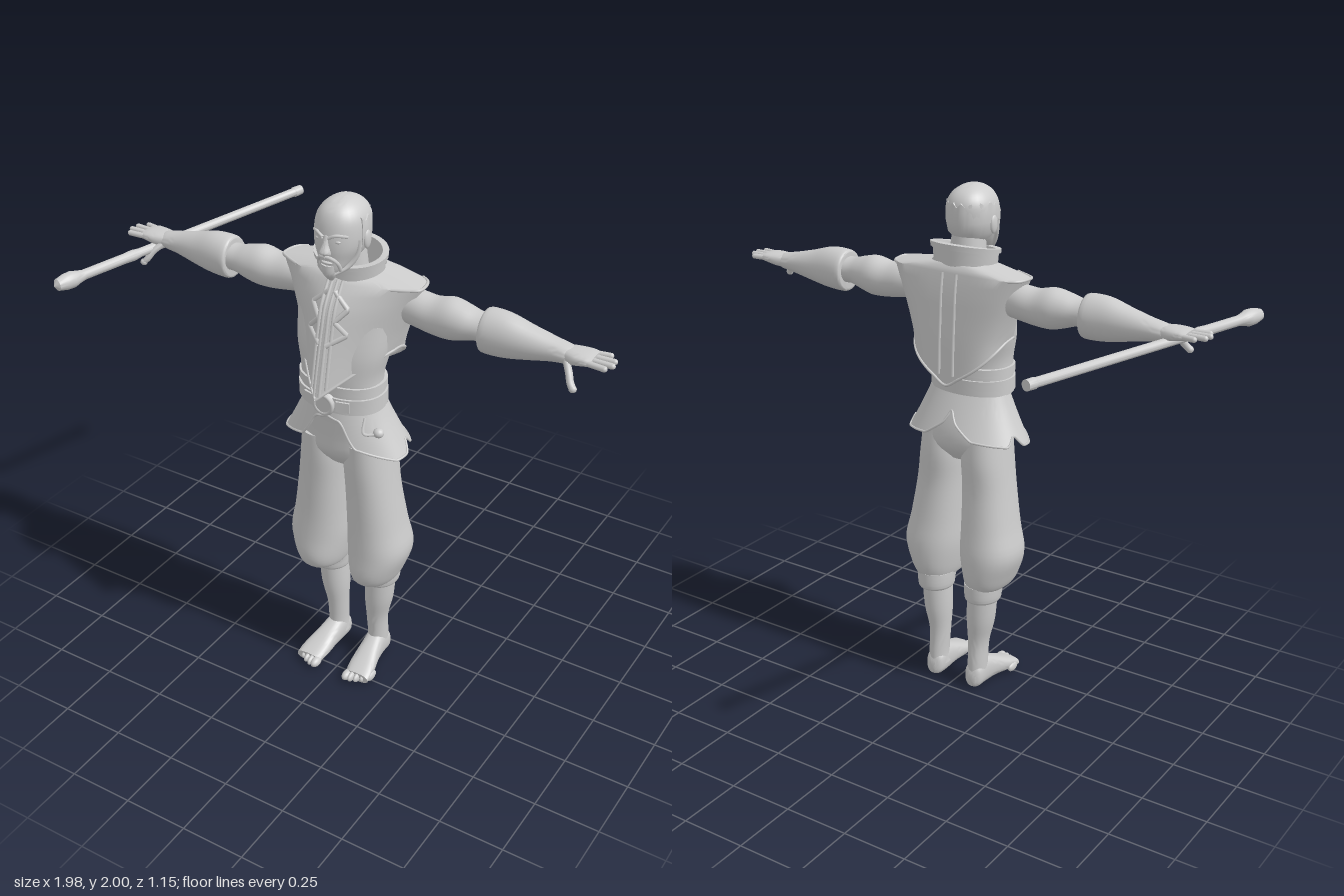
import * as THREE from 'three';
import { toCreasedNormals } from 'three/addons/utils/BufferGeometryUtils.js';

const V = (x, y, z) => new THREE.Vector3(x, y, z);
const lerp = THREE.MathUtils.lerp;
const bend = (v, p) => Math.sign(v) * Math.abs(v) ** (2 / p);

// Closed-around surface from a rule f(angle, rowIndex) -> [x, y, z]; angle 0 faces the front
function surface(f, rows, cols = 32, flip = false, crease = 0.8) {
  const pos = [], idx = [];
  for (let i = 0; i <= rows; i++)
    for (let j = 0; j < cols; j++) pos.push(...f((j / cols) * Math.PI * 2, i));
  for (let i = 0; i < rows; i++)
    for (let j = 0; j < cols; j++) {
      const a = i * cols + j, b = i * cols + ((j + 1) % cols), c = b + cols, d = a + cols;
      idx.push(...(flip ? [a, c, b, a, d, c] : [a, b, c, a, c, d]));
    }
  const g = new THREE.BufferGeometry();
  g.setAttribute('position', new THREE.Float32BufferAttribute(pos, 3));
  g.setIndex(idx);
  return toCreasedNormals(g, crease);
}

// Capped loft; each row is [t, uMin, uMax, vMin, vMax], smoothed between rows
function loft(rows, axis = 'y', p = 2, cols = 28, sub = 4) {
  const fine = [];
  const n = (rows.length - 1) * sub;
  for (let k = 0; k <= n; k++) {
    const i = Math.min(Math.floor(k / sub), rows.length - 2), t = k / sub - i;
    const q = [-1, 0, 1, 2].map(o => rows[THREE.MathUtils.clamp(i + o, 0, rows.length - 1)]);
    fine.push(rows[0].map((_, c) => {
      const m0 = (q[2][c] - q[0][c]) / 2, m1 = (q[3][c] - q[1][c]) / 2, d = q[2][c] - q[1][c];
      return q[1][c] + m0 * t + (3 * d - 2 * m0 - m1) * t * t + (m0 + m1 - 2 * d) * t ** 3;
    }));
  }
  const all = [fine[0], ...fine, fine[n]];
  const flip = (axis !== 'y') !== (rows[0][0] > rows[1][0]);
  return surface((a, i) => {
    const [t, u0, u1, v0, v1] = all[i], r = i === 0 || i === all.length - 1 ? 0 : 0.5;
    const u = (u0 + u1) / 2 + (u1 - u0) * r * bend(Math.sin(a), p);
    const v = (v0 + v1) / 2 + (v1 - v0) * r * bend(Math.cos(a), p);
    return axis === 'y' ? [u, t, v] : axis === 'x' ? [t, u, v] : [u, v, t];
  }, all.length - 1, cols, flip);
}

// Linear lookup in a table keyed by its first column
function lookup(table, k) {
  let i = 0;
  while (i < table.length - 2 && k > table[i + 1][0]) i++;
  const t = THREE.MathUtils.clamp((k - table[i][0]) / (table[i + 1][0] - table[i][0]), 0, 1);
  return table[i].map((v, c) => lerp(v, table[i + 1][c], t));
}

function mirrored(g) {
  const m = (g.index ? g.toNonIndexed() : g.clone()).scale(-1, 1, 1);
  for (const at of Object.values(m.attributes)) {
    const s = at.itemSize, a = at.array;
    for (let i = 0; i < a.length; i += 3 * s)
      for (let c = 0; c < s; c++) [a[i + s + c], a[i + 2 * s + c]] = [a[i + 2 * s + c], a[i + s + c]];
  }
  return m;
}

const tube = (pts, r, straight = false) => {
  let path = new THREE.CatmullRomCurve3(pts, false, 'centripetal');
  if (straight) {
    path = new THREE.CurvePath();
    for (let i = 1; i < pts.length; i++) path.add(new THREE.LineCurve3(pts[i - 1], pts[i]));
  }
  return new THREE.TubeGeometry(path, 40, r, 6);
};
const ball = (x, y, z, rx, ry, rz) => new THREE.SphereGeometry(1, 16, 12).scale(rx, ry, rz).translate(x, y, z);
function capsule(a, b, r) {
  const d = b.clone().sub(a), g = new THREE.CapsuleGeometry(r, d.length(), 5, 10);
  g.applyQuaternion(new THREE.Quaternion().setFromUnitVectors(V(0, 1, 0), d.normalize()));
  return g.translate((a.x + b.x) / 2, (a.y + b.y) / 2, (a.z + b.z) / 2);
}

// Vest cross-sections: y, half width, side z, front z, back z
const VEST = [[1.28, 0.165, 0.15, 0.365, -0.01], [1.45, 0.188, 0.15, 0.325, -0.005],
  [1.53, 0.212, 0.14, 0.305, 0], [1.62, 0.245, 0.13, 0.28, 0.005], [1.70, 0.278, 0.125, 0.23, 0.015],
  [1.715, 0.2, 0.12, 0.22, 0.018], [1.73, 0.11, 0.12, 0.2, 0.03]];
const FRONT = 1.3, BACK = 4;
function vestAt(a, y) {
  const [, w, zs, zf, zb] = lookup(VEST, y), s = Math.sin(a), c = Math.cos(a), p = c > 0 ? FRONT : BACK;
  return [w * bend(s, p), y, zs + (c > 0 ? zf - zs : zs - zb) * bend(c, p)];
}
function onVest(x, y, front = true) {
  const [, w, zs, zf, zb] = lookup(VEST, y), p = front ? FRONT : BACK;
  return V(x, y, zs + ((front ? zf : zb) - zs) * (1 - Math.abs(x / w) ** p) ** (1 / p));
}
function vestHem(a) {
  const front = Math.cos(a) > 0, r = Math.abs(bend(Math.sin(a), front ? FRONT : BACK));
  return front ? 1.455 - 0.155 * (1 - r) : 1.455 - 0.175 * Math.sqrt(Math.max(0, 1 - r));
}

// Skirt hem height by angle from the front
const HEM = [[0, 1.2], [0.3, 1.185], [0.5, 1.09], [1.25, 1.04], [1.6, 1.045], [1.8, 1.09], [2, 1.05], [2.7, 1.07], [3.0, 1.12], [3.15, 1.17]];
function skirtAt(a, k) {
  const y = lerp(1.225, lookup(HEM, Math.min(a, 2 * Math.PI - a))[1], k), t = (1.225 - y) / 0.185;
  const c = Math.cos(a), zc = 0.15;
  return [lerp(0.16, 0.25, t ** 1.1) * Math.sin(a), y, zc + c * (c > 0 ? lerp(0.135, 0.16, t) : lerp(0.09, 0.175, t))];
}

export function createModel() {
  const model = new THREE.Group();
  const material = new THREE.MeshStandardMaterial({ color: 0xcccccc, side: THREE.DoubleSide });
  material.name = 'light grey';
  const add = (name, g) => {
    const m = new THREE.Mesh(g, material);
    m.name = name;
    model.add(m);
  };
  const pair = (name, g) => { add('left ' + name, g); add('right ' + name, mirrored(g)); };

  // Head and face
  add('head', loft([[1.73, -0.012, 0.012, 0.235, 0.262], [1.765, -0.042, 0.042, 0.18, 0.275], [1.80, -0.066, 0.066, 0.11, 0.276],
    [1.84, -0.084, 0.084, 0.075, 0.28], [1.885, -0.09, 0.09, 0.062, 0.278], [1.935, -0.086, 0.086, 0.063, 0.268],
    [1.97, -0.066, 0.066, 0.083, 0.248], [1.992, -0.036, 0.036, 0.12, 0.213], [2.0, -0.008, 0.008, 0.158, 0.176]], 'y', 2.2));
  add('neck', loft([[1.66, -0.075, 0.075, 0.06, 0.2], [1.84, -0.06, 0.06, 0.08, 0.21]]));
  add('hair', surface((a, i) => {
    const y = [1.805, 1.83, 1.87, 1.91, 1.935, 1.94][i], back = a + Math.PI / 2;
    const r = i === 0 || i === 5 ? 0.92 : 1.035, w = [0.073, 0.083, 0.09, 0.09, 0.086, 0.084][i];
    const t = Math.PI + (a - Math.PI) * 0.56, zc = 0.17, d = [0.085, 0.1, 0.108, 0.108, 0.106, 0.104][i];
    return [w * r * Math.sin(t), y + 0.008 * Math.sin(back * 9) * (i > 3), zc + d * r * Math.cos(t)];
  }, 5, 40));
  add('nose', loft([[1.828, -0.019, 0.019, 0.26, 0.294], [1.838, -0.02, 0.02, 0.26, 0.306], [1.865, -0.011, 0.011, 0.26, 0.293], [1.895, -0.009, 0.009, 0.255, 0.281]], 'y', 2, 12));
  add('beard', loft([[1.72, -0.008, 0.008, 0.238, 0.256], [1.75, -0.025, 0.025, 0.23, 0.282], [1.785, -0.03, 0.03, 0.23, 0.284]], 'y', 2, 14));
  add('mouth', ball(0, 1.796, 0.272, 0.022, 0.005, 0.012));
  pair('moustache', tube([V(0, 1.82, 0.284), V(0.022, 1.815, 0.279), V(0.038, 1.795, 0.265), V(0.04, 1.765, 0.25)], 0.007));
  pair('sideburn beard', tube([V(0.085, 1.87, 0.2), V(0.08, 1.82, 0.205), V(0.055, 1.775, 0.225), V(0.02, 1.752, 0.26)], 0.009));
  pair('eyebrow', tube([V(0.01, 1.888, 0.281), V(0.035, 1.9, 0.274), V(0.066, 1.892, 0.245)], 0.006));
  pair('eye', ball(0.035, 1.875, 0.264, 0.015, 0.007, 0.009));
  pair('ear', ball(0.092, 1.86, 0.165, 0.01, 0.034, 0.02));

  // Collar with thickness, lower at the front
  add('collar', surface((a, i) => {
    const [k, o] = [[0, 0], [0.8, 0], [0.8, 0.008], [1, 0.008], [1, -0.014], [0, -0.02]][i];
    const c = Math.cos(a), top = 1.783 - 0.02 * c, y = lerp(1.70, top, k);
    return [(lerp(0.122, 0.13, k) + o) * Math.sin(a), y, 0.122 + (lerp(0.098, 0.1, k) + o) * c];
  }, 5, 40, false, 0.5));

  // Vest, its trims and fastenings
  add('vest', surface((a, i) => vestAt(a, i <= 10 ? lerp(vestHem(a), 1.7, i / 10) : [1.715, 1.73][i - 11]), 12, 64));
  const hem = [];
  for (let j = 0; j <= 64; j++) hem.push(V(...vestAt(j / 64 * Math.PI * 2, vestHem(j / 64 * Math.PI * 2))));
  add('vest hem trim', new THREE.TubeGeometry(new THREE.CatmullRomCurve3(hem), 128, 0.006, 6));
  const strip = (x, ys, front) => ys.map(y => onVest(x, y, front));
  pair('front placket', tube(strip(0.028, [1.71, 1.62, 1.53, 1.42, 1.335], true), 0.007));
  pair('inner placket', tube(strip(0.01, [1.71, 1.62, 1.53, 1.42, 1.31], true), 0.006));
  pair('back panel trim', tube(strip(0.03, [1.7, 1.62, 1.53, 1.42, 1.32], false), 0.006));
  pair('clasp', tube([[0.012, 1.675], [0.07, 1.625], [0.03, 1.58], [0.075, 1.535], [0.012, 1.495]].map(([x, y]) => onVest(x, y)), 0.01, true));
  const edge = [0, 1, 2, 3, 4, 5].map(i => V(...vestAt(lerp(0.9, 2.35, i / 5), 1.699)));
  pair('shoulder trim', tube(edge, 0.006));

  // Waist, belt and skirt
  add('torso', loft([[1.16, -0.15, 0.15, 0.05, 0.27], [1.28, -0.155, 0.155, 0.075, 0.285], [1.36, -0.158, 0.158, 0.075, 0.288],
    [1.45, -0.178, 0.178, 0.06, 0.28], [1.56, -0.19, 0.19, 0.04, 0.25]], 'y', 2.3));
  const band = (name, y0, y1, w) => add(name, loft([[y0, -w, w, 0.225 - w, 0.132 + w], [y1, -w, w, 0.225 - w, 0.132 + w]], 'y', 2.2, 40, 1));
  band('upper sash', 1.298, 1.33, 0.166);
  band('middle sash', 1.28, 1.302, 0.16);
  band('belt', 1.232, 1.285, 0.168);
  band('belt lower edge', 1.222, 1.236, 0.163);
  add('buckle', new THREE.CylinderGeometry(0.036, 0.04, 0.03, 24).rotateX(Math.PI / 2).translate(0, 1.258, 0.302));
  add('buckle rim', new THREE.TorusGeometry(0.036, 0.008, 8, 24).translate(0, 1.258, 0.312));
  pair('buckle plate', new THREE.BoxGeometry(0.05, 0.04, 0.014).rotateY(0.25).translate(0.068, 1.258, 0.292));
  add('skirt', surface((a, i) => skirtAt(a, 1 - i / 6), 6, 96));
  const skirtHem = [];
  for (let j = 0; j <= 96; j++) skirtHem.push(V(...skirtAt(j / 96 * Math.PI * 2, 1)));
  add('skirt trim', new THREE.TubeGeometry(new THREE.CatmullRomCurve3(skirtHem), 192, 0.005, 5));
  add('hip charm', ball(0.19, 1.168, 0.25, 0.02, 0.018, 0.02));
  add('hip charm cord', tube([V(0.14, 1.22, 0.26), V(0.15, 1.17, 0.285), V(0.19, 1.165, 0.255)], 0.006));

  // Trousers and legs
  add('hips', loft([[0.96, -0.1, 0.1, 0.07, 0.22], [1.02, -0.176, 0.176, 0.025, 0.26], [1.1, -0.172, 0.172, 0.025, 0.265], [1.22, -0.15, 0.15, 0.06, 0.275]], 'y', 2.4));
  pair('trouser leg', loft([[0.445, 0.045, 0.175, 0.03, 0.2], [0.452, 0.035, 0.195, 0.015, 0.245], [0.5, 0.022, 0.218, 0, 0.264],
    [0.59, 0.009, 0.245, -0.004, 0.258], [0.7, 0.008, 0.224, 0.012, 0.252], [0.85, 0.006, 0.2, 0.028, 0.252],
    [0.97, 0.002, 0.184, 0.024, 0.258], [1.07, 0.01, 0.172, 0.03, 0.26]], 'y', 2.2));
  pair('trouser cuff', loft([[0.39, 0.045, 0.173, 0.018, 0.165], [0.4, 0.04, 0.178, 0.012, 0.17], [0.43, 0.037, 0.182, 0.01, 0.175], [0.46, 0.035, 0.185, 0.01, 0.19]]));
  pair('shin', loft([[0.05, 0.05, 0.13, 0.036, 0.14], [0.1, 0.054, 0.13, 0.038, 0.132], [0.2, 0.05, 0.133, 0.044, 0.138],
    [0.3, 0.045, 0.155, 0.032, 0.152], [0.42, 0.048, 0.165, 0.028, 0.156]]));
  pair('foot', loft([[0.032, 0.075, 0.11, 0.015, 0.06], [0.05, 0.056, 0.128, 0.004, 0.1], [0.1, 0.052, 0.132, 0.002, 0.12],
    [0.16, 0.053, 0.142, 0.006, 0.098], [0.23, 0.053, 0.16, 0.004, 0.066], [0.285, 0.062, 0.164, 0.003, 0.042]], 'z', 2.5));
  for (let i = 0; i < 5; i++)
    pair('toe ' + (i + 1), ball(0.073 + i * 0.021, 0.02, 0.29 - i * i * 0.0028, i ? 0.012 : 0.018, 0.019, 0.03));

  // Arms and hands
  pair('upper arm', loft([[0.17, 1.56, 1.67, 0.05, 0.15], [0.25, 1.55, 1.68, 0.035, 0.16], [0.32, 1.54, 1.675, 0.032, 0.165],
    [0.385, 1.537, 1.688, 0.027, 0.17], [0.44, 1.55, 1.678, 0.035, 0.168], [0.49, 1.565, 1.665, 0.045, 0.16], [0.54, 1.56, 1.665, 0.045, 0.155]], 'x'));
  pair('forearm', loft([[0.515, 1.545, 1.675, 0.045, 0.16], [0.525, 1.528, 1.69, 0.028, 0.173], [0.6, 1.53, 1.69, 0.034, 0.168],
    [0.68, 1.545, 1.668, 0.042, 0.156], [0.76, 1.562, 1.648, 0.05, 0.142], [0.82, 1.572, 1.635, 0.055, 0.138], [0.84, 1.58, 1.628, 0.06, 0.132]], 'x'));
  pair('palm', loft([[0.81, 1.58, 1.63, 0.06, 0.132], [0.85, 1.582, 1.632, 0.05, 0.145], [0.89, 1.592, 1.63, 0.046, 0.148], [0.915, 1.597, 1.625, 0.05, 0.144]], 'x', 2.6, 20));
  [0.948, 0.975, 0.98, 0.965].forEach((tip, i) =>
    pair('finger ' + (i + 1), capsule(V(0.895, 1.611, 0.06 + i * 0.025), V(tip, 1.612, 0.052 + i * 0.03), 0.0105)));
  pair('thumb', tube([V(0.825, 1.595, 0.125), V(0.85, 1.57, 0.155), V(0.865, 1.545, 0.172), V(0.878, 1.53, 0.18)], 0.013));
  pair('thumb tip', ball(0.878, 1.53, 0.18, 0.014, 0.013, 0.013));

  // Staff held across the right hand
  const staff = new THREE.LatheGeometry([[0, 0], [0.019, 0], [0.02, 0.035], [0.017, 0.04], [0.017, 0.8], [0.021, 0.83], [0.019, 0.87],
    [0.019, 1.05], [0.024, 1.075], [0.031, 1.1], [0.03, 1.13], [0.022, 1.165], [0, 1.18]].map(([r, y]) => new THREE.Vector2(r, y)), 20);
  staff.applyQuaternion(new THREE.Quaternion().setFromUnitVectors(V(0, 1, 0), V(-0.292, -0.012, 1.143).normalize()));
  add('staff', toCreasedNormals(staff.translate(-0.678, 1.585, -0.573), 0.6));

  return model;
}
